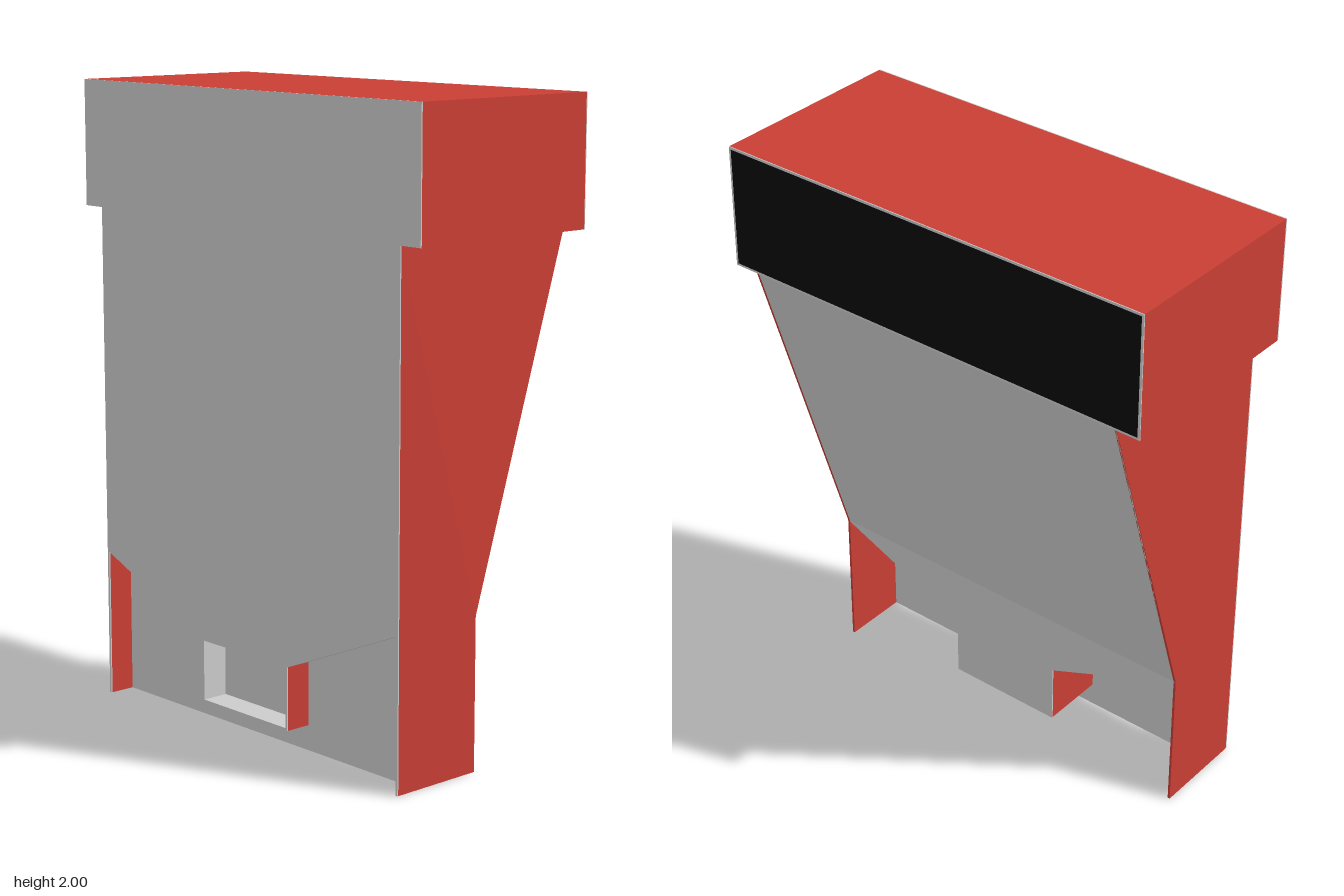
import * as THREE from 'three';

const grey = new THREE.MeshStandardMaterial({ color: 0xcccccc });
const red = new THREE.MeshStandardMaterial({ color: 0xc83e34 });
const black = new THREE.MeshStandardMaterial({ color: 0x0a0a0a });
const T = 0.004; // sheet thickness
const FRONT = 0.337, BACK = -0.337, REAR = 0.02; // REAR: back of the lower body
const W = 0.68, HEAD_W = 0.76;

export function createModel() {
  const model = new THREE.Group();

  const add = (name, geometry, material) => {
    const mesh = new THREE.Mesh(geometry, material);
    mesh.name = name;
    model.add(mesh);
    return mesh;
  };
  const shapeOf = (pts) => new THREE.Shape(pts.map(([a, b]) => new THREE.Vector2(a, b)));
  const extrude = (pts, depth) =>
    new THREE.ExtrudeGeometry(shapeOf(pts), { depth, bevelEnabled: false });
  // sheet with an x/y outline between z0 and z1
  const sheetZ = (name, pts, z0, z1, material) =>
    add(name, extrude(pts, z1 - z0).translate(0, 0, z0), material);
  // sheet with a z/y outline between x0 and x1
  const sheetX = (name, pts, x0, x1, material) =>
    add(name, extrude(pts.map(([z, y]) => [-z, y]), x1 - x0)
      .rotateY(Math.PI / 2).translate(x0, 0, 0), material);
  // box given by its limits
  const box = (name, x0, x1, y0, y1, z0, z1, material) =>
    add(name, new THREE.BoxGeometry(x1 - x0, y1 - y0, z1 - z0)
      .translate((x0 + x1) / 2, (y0 + y1) / 2, (z0 + z1) / 2), material);

  // head with dark back panel in a thin pale frame
  box('head', -HEAD_W, HEAD_W, 1.6, 2, BACK + T, FRONT - T, red);
  box('headBackFrame', -HEAD_W, HEAD_W, 1.6, 2, BACK + 0.001, BACK + T, grey);
  box('headBackPanel', -HEAD_W + 0.008, HEAD_W - 0.008, 1.608, 1.992, BACK, BACK + 0.002, black);

  // T-shaped front with a V-shaped lower edge
  sheetZ('frontPlate', [
    [-HEAD_W, 2], [-HEAD_W, 1.6], [-W, 1.6], [-W, 0.48], [-0.2, 0.28],
    [0.2, 0.28], [W, 0.48], [W, 1.6], [HEAD_W, 1.6], [HEAD_W, 2],
  ], FRONT - T, FRONT, grey);

  // side walls
  const side = [[FRONT - T, 0], [FRONT - T, 1.6], [BACK + T, 1.6], [REAR, 0.48], [REAR, 0]];
  sheetX('leftWall', side, W - 0.008, W, red);
  sheetX('rightWall', side, -W, -W + 0.008, red);
  for (const s of [-1, 1]) {
    box('wallFrontEdge', s * (W - 0.004) - 0.004, s * (W - 0.004) + 0.004, 0, 0.48, FRONT - T, FRONT, grey);
  }

  // sloping hopper back and the upright throat below it
  sheetX('hopperBack', [
    [BACK + T, 1.6], [REAR, 0.48], [REAR + 0.008, 0.48], [BACK + T + 0.008, 1.6],
  ], -W + 0.002, W - 0.002, grey);
  sheetZ('throatBack', [[-W, 0.48], [-0.2, 0.28], [0.2, 0.28], [W, 0.48]], REAR, REAR + T, grey);

  // funnel floors with dark patches underneath
  for (const s of [-1, 1]) {
    const strip = (x0, x1, top, bottom) => {
      const y = (x) => 0.28 + (x - 0.2) * 0.2 / 0.48;
      return [[s * x0, y(x0) + top], [s * x1, y(x1) + top],
        [s * x1, y(x1) + bottom], [s * x0, y(x0) + bottom]];
    };
    sheetZ('funnelFloor', strip(0.2, W - 0.002, 0.008, 0), REAR + T, FRONT - T, grey);
    sheetZ('funnelPatch', strip(0.22, 0.39, 0.001, -0.001), REAR + 0.01, 0.17, black);
  }

  // recessed lower panel
  sheetZ('lowerPanel', [
    [-W + 0.008, 0], [W - 0.008, 0], [W - 0.008, 0.477], [0.2, 0.28],
    [-0.2, 0.28], [-W + 0.008, 0.477],
  ], 0.24, 0.25, grey);

  // tray box behind the panel
  box('trayRear', -0.2, 0.2, 0.08, 0.28, REAR + T, 0.24, red);
  box('trayBack', -0.2, 0.2, 0.08, 0.28, REAR, REAR + T, grey);

  // tray mouth in front of the panel: red outside, pale lining inside
  for (const s of [-1, 1]) {
    box('trayCheek', s * 0.198 - 0.002, s * 0.198 + 0.002, 0.08, 0.28, 0.25, FRONT - T, red);
    box('trayCheekLining', s * 0.194 - 0.002, s * 0.194 + 0.002, 0.084, 0.28, 0.25, FRONT - T, grey);
    box('trayRim', s * 0.196 - 0.004, s * 0.196 + 0.004, 0.08, 0.28, FRONT - T, FRONT, grey);
  }
  box('trayBase', -0.2, 0.2, 0.08, 0.084, 0.25, FRONT - T, red);
  box('trayFloor', -0.192, 0.192, 0.084, 0.088, 0.25, FRONT - T, grey);
  box('trayLip', -0.192, 0.192, 0.08, 0.088, FRONT - T, FRONT, grey);
  box('trayRoof', -0.2, 0.2, 0.28, 0.288, 0.24, FRONT - T, grey);

  return model;
}
